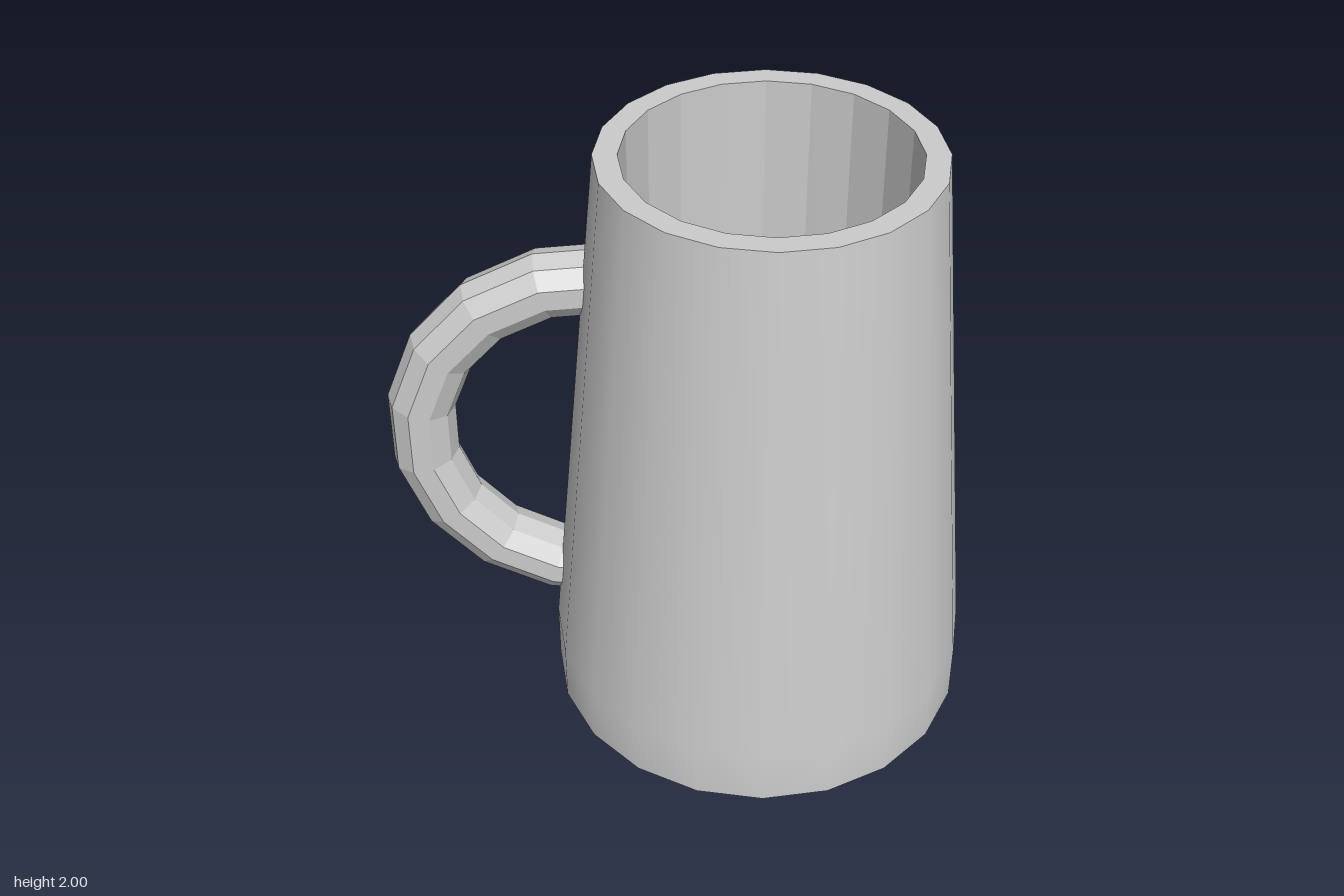
import * as THREE from 'three';

const SIDES = 20;
const BODY_X = 0.26;

export function createModel() {
  const model = new THREE.Group();
  model.name = 'mug';

  const smooth = new THREE.MeshStandardMaterial({ color: 0xcccccc });
  const flat = new THREE.MeshStandardMaterial({ color: 0xcccccc, flatShading: true });

  // One turned surface from [radius, height] pairs
  function turned(name, profile, material) {
    const points = profile.map(([r, y]) => new THREE.Vector2(r, y));
    const mesh = new THREE.Mesh(new THREE.LatheGeometry(points, SIDES), material);
    mesh.name = name;
    return mesh;
  }

  // Body: separate surfaces keep the rim and base edges sharp
  const body = new THREE.Group();
  body.name = 'body';
  body.position.x = BODY_X;
  body.add(
    turned('base', [[0, 0], [0.69, 0]], flat),
    turned('outerWall', [[0.69, 0], [0.69, 0.2], [0.525, 2]], smooth),
    turned('rim', [[0.525, 2], [0.45, 2]], flat),
    turned('innerWall', [[0.45, 2], [0.45, 0.2]], flat),
    turned('innerFloor', [[0.45, 0.2], [0, 0.2]], flat),
  );
  model.add(body);

  // Handle: nine steps of a 17-step ring, its ends buried in the wall
  const steps = 9;
  const arc = (steps / 17) * Math.PI * 2;
  const handle = new THREE.Mesh(new THREE.TorusGeometry(0.58, 0.11, 10, steps, arc), flat);
  handle.name = 'handle';
  handle.rotation.z = Math.PI - arc / 2;
  handle.position.set(-0.27, 0.955, -0.06);
  model.add(handle);

  return model;
}
